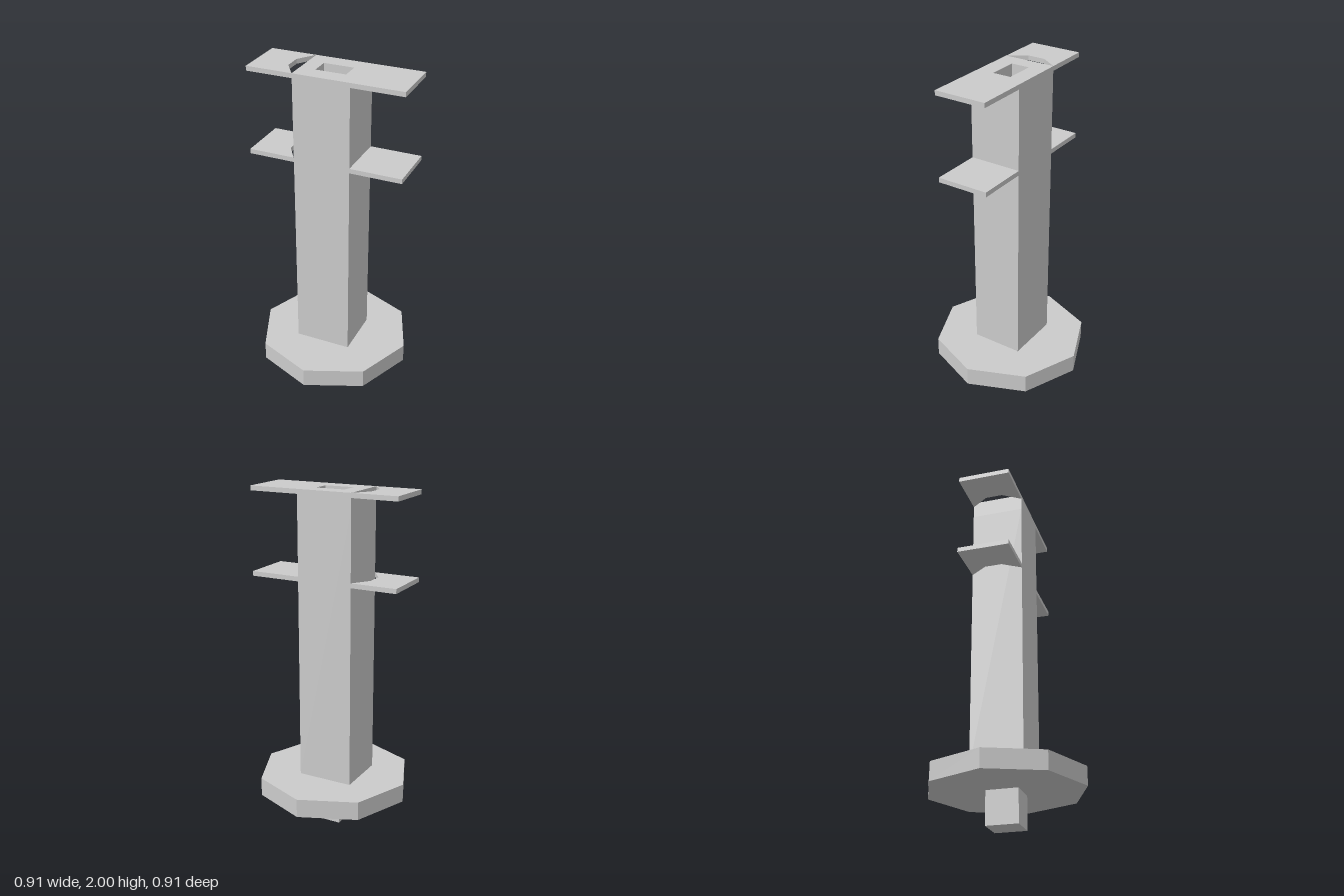
import * as THREE from 'three';

const X0 = -0.18, X1 = 0.15, HALF_Z = 0.152, WING = 0.45;

export function createModel() {
  const model = new THREE.Group();
  const material = new THREE.MeshStandardMaterial({ color: 0xcccccc, flatShading: true });

  const add = (name, geometry) => {
    const mesh = new THREE.Mesh(geometry, material);
    mesh.name = name;
    model.add(mesh);
  };
  const box = (x0, x1, y0, y1, z0, z1) =>
    new THREE.BoxGeometry(x1 - x0, y1 - y0, z1 - z0)
      .translate((x0 + x1) / 2, (y0 + y1) / 2, (z0 + z1) / 2);
  const outline = (points) => points.map(([x, z]) => new THREE.Vector2(x, -z));
  // Plan outline (x, z) raised from y0 to y1
  const slab = (points, y0, y1, hole) => {
    const shape = new THREE.Shape(outline(points));
    if (hole) shape.holes.push(new THREE.Path(outline(hole)));
    return new THREE.ExtrudeGeometry(shape, { depth: y1 - y0, bevelEnabled: false })
      .rotateX(-Math.PI / 2).translate(0, y0, 0);
  };
  const rect = (x0, x1, z0, z1) => [[x0, z0], [x0, z1], [x1, z1], [x1, z0]];

  // Peg under the base, and the octagonal base
  add('peg', box(-0.08, 0.09, 0, 0.2, -0.092, 0.095));
  add('base', new THREE.CylinderGeometry(0.455, 0.455, 0.11, 8).translate(0, 0.25, 0));

  // Square column with a rectangular socket in its top
  const socketFloor = 1.9;
  add('column', box(X0, X1, 0.3, socketFloor, -HALF_Z, HALF_Z));
  add('columnTop', slab(rect(X0, X1, -HALF_Z, HALF_Z), socketFloor, 2,
    rect(-0.09, 0.085, -0.055, 0.053)));

  // Two levels of side plates; the right one has a tapered notch against the column
  const notchedWing = [
    [-WING, -HALF_Z], [-WING, HALF_Z], [X0, HALF_Z],
    [-0.25, 0.05], [-0.25, -0.05], [X0, -HALF_Z],
  ];
  for (const [level, y0, y1] of [['lower', 1.488, 1.515], ['upper', 1.973, 2]]) {
    add(level + 'LeftPlate', box(X1, WING, y0, y1, -HALF_Z, HALF_Z));
    add(level + 'RightPlate', slab(notchedWing, y0, y1));
  }
  return model;
}
